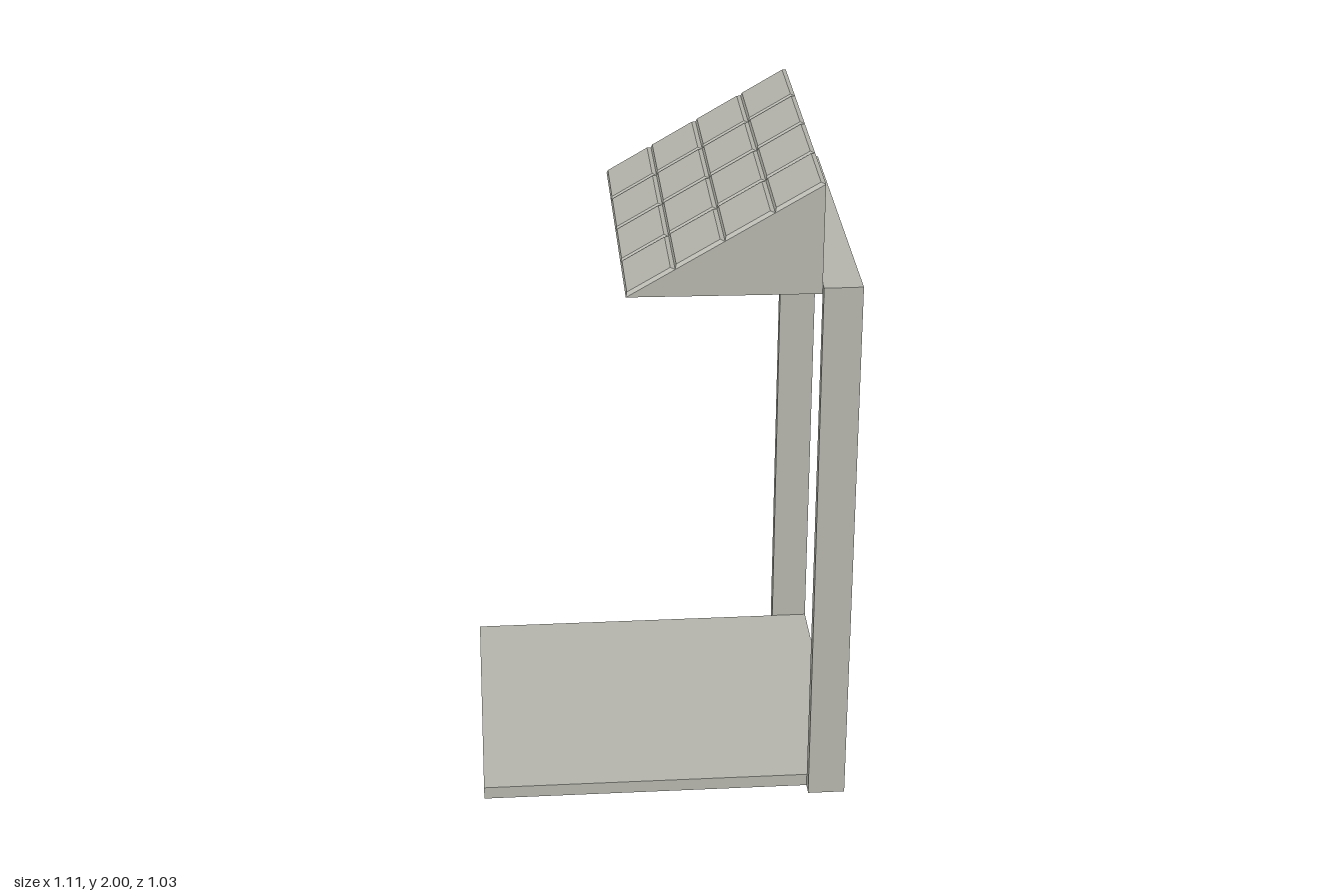
import * as THREE from 'three';

const plain = new THREE.MeshStandardMaterial({ color: 0xb4b4ac });
plain.name = 'warm grey';

// Main dimensions
const FRAME_X = 0.443, BACK_X = 0.555, FRAME_H = 1.7;
const HALF = 0.473, BASE_H = 0.04;
const LOW = new THREE.Vector2(-0.11, 1.67), HIGH = new THREE.Vector2(0.443, 2.0);

function addMesh(parent, name, geometry) {
  const mesh = new THREE.Mesh(geometry, plain);
  mesh.name = name;
  parent.add(mesh);
  return mesh;
}

function outline(Type, points) {
  return new Type(points.map(([x, y]) => new THREE.Vector2(x, y)));
}

// The canopy drifts slightly sideways toward its low edge
function skew(geometry) {
  const k = 0.0273;
  geometry.applyMatrix4(new THREE.Matrix4().set(
    1, 0, 0, 0,
    0, 1, 0, 0,
    k, 0, 1, -k * HIGH.x,
    0, 0, 0, 1));
  geometry.computeVertexNormals();
  return geometry;
}

// Low block whose top is inset on all four sides
function bevelledTile(length, height, width, inset) {
  const g = new THREE.BoxGeometry(length, height, width);
  g.translate(0, height / 2, 0);
  const p = g.attributes.position;
  for (let i = 0; i < p.count; i++) {
    if (p.getY(i) < height / 2) continue;
    p.setX(i, p.getX(i) - Math.sign(p.getX(i)) * inset);
    p.setZ(i, p.getZ(i) - Math.sign(p.getZ(i)) * inset);
  }
  return g;
}

export function createModel() {
  const model = new THREE.Group();
  model.name = 'framedStand';

  // Upright frame, its outer sides leaning in toward the top
  const ring = outline(THREE.Shape,
    [[-0.515, 0], [0.515, 0], [0.502, FRAME_H], [-0.502, FRAME_H]]);
  ring.holes.push(outline(THREE.Path,
    [[-HALF, BASE_H], [-HALF, 1.675], [HALF, 1.675], [HALF, BASE_H]]));
  const frame = new THREE.ExtrudeGeometry(ring, { depth: BACK_X - FRAME_X, bevelEnabled: false });
  frame.rotateY(Math.PI / 2).translate(FRAME_X, 0, 0);
  addMesh(model, 'uprightFrame', frame);

  // Floor plate
  const floor = new THREE.BoxGeometry(FRAME_X + BACK_X, BASE_H, HALF * 2);
  floor.translate((FRAME_X - BACK_X) / 2, BASE_H / 2, 0);
  addMesh(model, 'floorPlate', floor);

  // Wedge canopy
  const canopy = new THREE.Group();
  canopy.name = 'canopy';
  model.add(canopy);
  const triangle = outline(THREE.Shape, [[LOW.x, LOW.y], [HIGH.x, LOW.y], [HIGH.x, HIGH.y]]);
  const wedge = new THREE.ExtrudeGeometry(triangle, { depth: HALF * 2, bevelEnabled: false });
  addMesh(canopy, 'wedge', skew(wedge.translate(0, 0, -HALF)));

  // Four by four bevelled panels on the slope
  const N = 4;
  const slope = HIGH.clone().sub(LOW);
  const width = HALF * 2 / N;
  for (let i = 0; i < N; i++) {
    for (let j = 0; j < N; j++) {
      const c = LOW.clone().lerp(HIGH, (i + 0.5) / N);
      const tile = bevelledTile(slope.length() / N, 0.009, width, 0.0095);
      tile.rotateZ(slope.angle()).translate(c.x, c.y, -HALF + (j + 0.5) * width);
      addMesh(canopy, 'slopePanel', skew(tile));
    }
  }
  return model;
}
